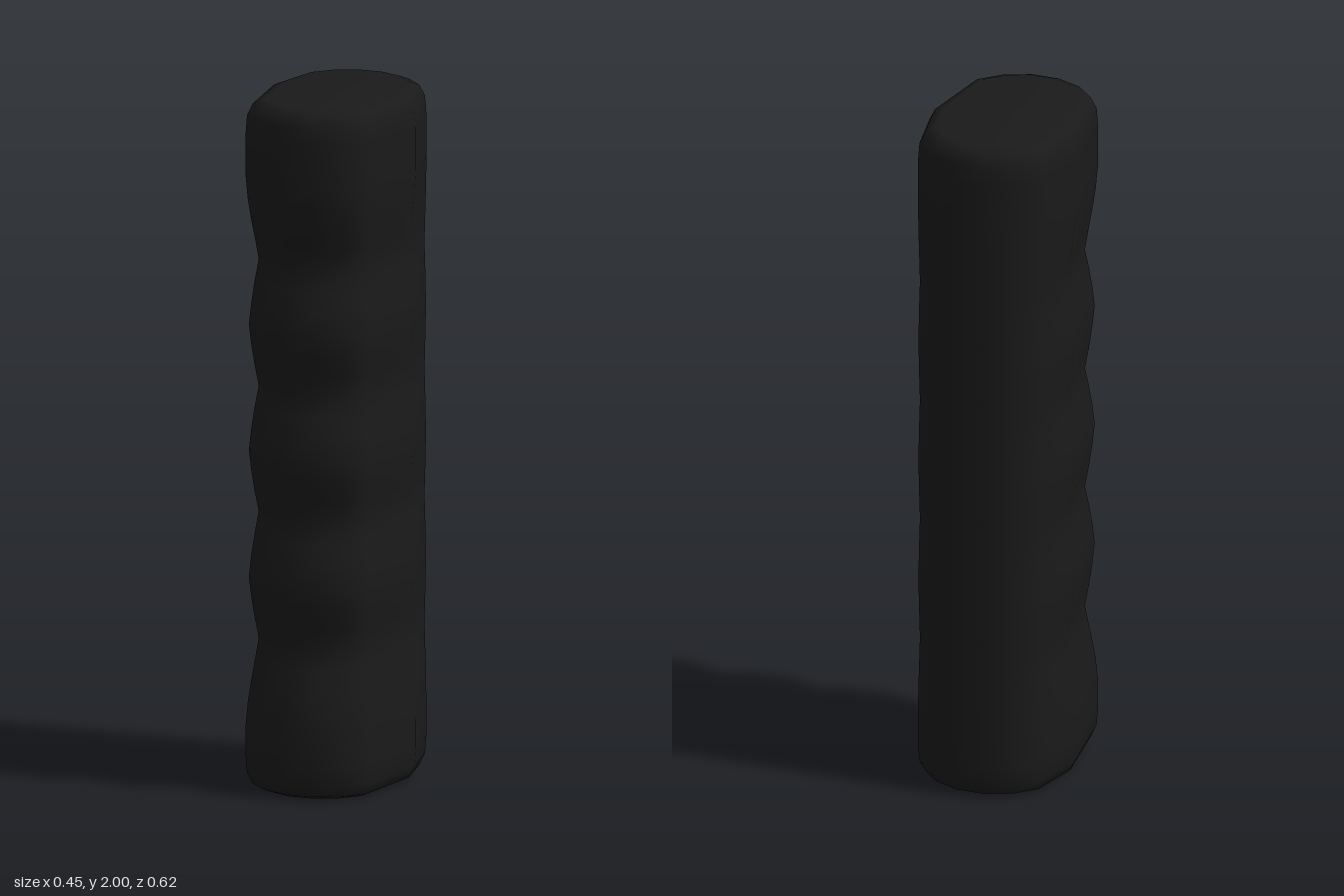
import * as THREE from 'three';

// Half cross-section from back to front: x, z, and how far the finger grooves push it in x and z
const HALF = [
  [0.045, -0.308, 0, 0], [0.128, -0.274, 0, 0], [0.19, -0.212, 0.006, 0], [0.226, -0.045, 0.026, 0],
  [0.19, 0.21, 0.022, 0.045], [0.128, 0.272, 0.015, 0.06], [0.045, 0.307, 0.005, 0.066],
];
const SECTION = [...HALF, ...HALF.slice().reverse().map(([x, z, dx, dz]) => [-x, z, -dx, dz])];

// Rings: height, groove depth 0..1, inset of the rounded ends
function makeRings() {
  const rings = [[0, 0, 0.05], [0.012, 0, 0.02], [0.045, 0, 0.004], [0.1, 0, 0], [0.18, 0, 0],
    [0.25, 0.17, 0], [0.31, 0.42, 0], [0.37, 0.72, 0]];
  const grooves = [0.43, 0.797, 1.163, 1.53];
  const bulge = [1, 0.68, 0.44, 0.25, 0.44, 0.68];
  for (let k = 0; k < 3; k++) {
    const steps = [0, 0.17, 0.33, 0.5, 0.67, 0.83];
    steps.forEach((t, i) => rings.push([grooves[k] + t * 0.367, bulge[i], 0]));
  }
  rings.push([1.53, 1, 0], [1.59, 0.72, 0], [1.65, 0.42, 0], [1.71, 0.17, 0], [1.78, 0, 0],
    [1.9, 0, 0], [1.955, 0, 0.004], [1.988, 0, 0.02], [2, 0, 0.05]);
  return rings;
}

function gripGeometry() {
  const rings = makeRings();
  const n = SECTION.length;
  const positions = [];
  const index = [];
  for (const [y, groove, inset] of rings) {
    for (const [x, z, dx, dz] of SECTION) {
      positions.push((x - dx * groove) * (1 - inset / 0.226), y, (z - dz * groove) * (1 - inset / 0.308));
    }
  }
  for (let i = 0; i < rings.length - 1; i++) {
    for (let j = 0; j < n; j++) {
      const a = i * n + j, b = i * n + (j + 1) % n;
      index.push(a, a + n, b, b, a + n, b + n);
    }
  }
  // Closed ends
  const bottom = rings.length * n, top = bottom + 1, last = (rings.length - 1) * n;
  positions.push(0, 0, 0, 0, 2, 0);
  for (let j = 0; j < n; j++) {
    const k = (j + 1) % n;
    index.push(bottom, j, k, top, last + k, last + j);
  }
  const geometry = new THREE.BufferGeometry();
  geometry.setAttribute('position', new THREE.Float32BufferAttribute(positions, 3));
  geometry.setIndex(index);
  geometry.computeVertexNormals();
  return geometry;
}

export function createModel() {
  const group = new THREE.Group();
  group.name = 'handle';
  const grip = new THREE.Mesh(gripGeometry(), new THREE.MeshStandardMaterial({ color: 0x1a1a1a }));
  grip.name = 'fingerGrip';
  group.add(grip);
  return group;
}
